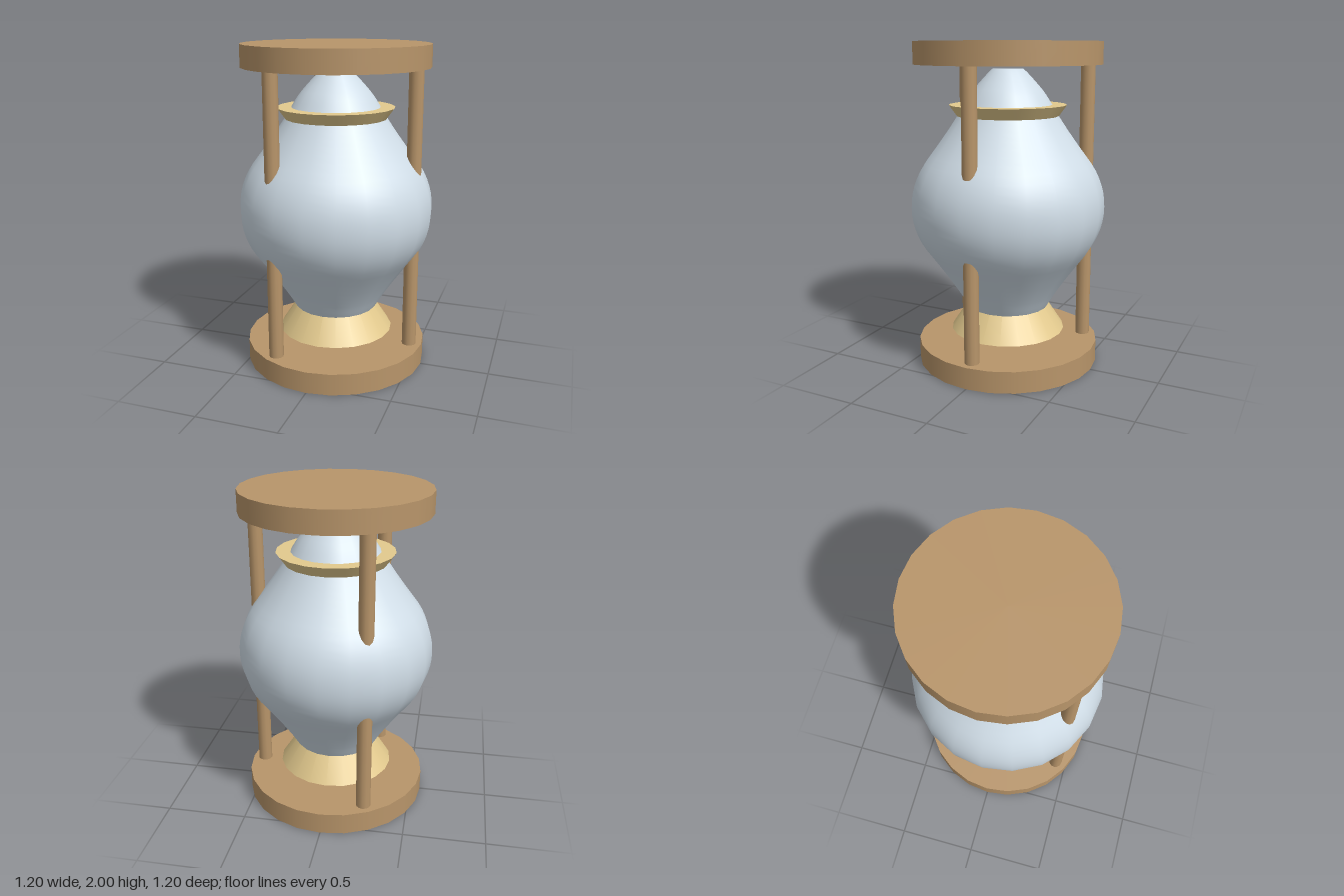
import * as THREE from 'three';

export function createModel() {
  const group = new THREE.Group();
  group.name = 'hourglass';

  const material = (name, color) => {
    const m = new THREE.MeshStandardMaterial({ color });
    m.name = name;
    return m;
  };
  const wood = material('wood', 0xb8956a);
  const glass = material('glass', 0xd0dde7);
  const sand = material('sand', 0xe3ca8e);

  const add = (name, geometry, mat, x, y, z) => {
    const mesh = new THREE.Mesh(geometry, mat);
    mesh.name = name;
    mesh.position.set(x, y, z);
    group.add(mesh);
    return mesh;
  };

  // Round end plates
  const plate = new THREE.CylinderGeometry(0.57, 0.57, 0.135, 24);
  add('bottomPlate', plate, wood, 0, 0.0675, 0);
  add('topPlate', plate, wood, 0, 1.9325, 0);

  // Three posts, partly sunk into the glass
  const post = new THREE.CylinderGeometry(0.045, 0.045, 1.74, 12);
  for (let i = 0; i < 3; i++) {
    const a = (i * Math.PI * 2) / 3;
    add('post' + (i + 1), post, wood, 0.49 * Math.cos(a), 1, 0.49 * Math.sin(a));
  }

  // Glass body: upper half profile (radius, height above middle), mirrored below
  const half = [[0.6, 0], [0.585, 0.12], [0.535, 0.24], [0.445, 0.365], [0.37, 0.47],
    [0.307, 0.565], [0.268, 0.63], [0.215, 0.71], [0.13, 0.805], [0.095, 0.838]];
  const lower = half.slice(1).reverse().map(([r, h]) => new THREE.Vector2(r, 1 - h));
  const upper = half.map(([r, h]) => new THREE.Vector2(r, 1 + h));
  const wall = new THREE.SplineCurve([...lower, ...upper]).getPoints(48);
  const first = wall[0];
  const last = wall[wall.length - 1];
  // Doubled end points keep the rims of the flat caps sharp
  const profile = [new THREE.Vector2(0, first.y), first.clone(), ...wall,
    last.clone(), new THREE.Vector2(0, last.y)];
  add('glassBody', new THREE.LatheGeometry(profile, 20), glass, 0, 0, 0);

  // Sand cones, the upper one pointing down
  add('lowerSand', new THREE.ConeGeometry(0.36, 0.55, 20), sand, 0, 0.475, 0);
  add('upperSand', new THREE.ConeGeometry(0.36, 0.5, 20), sand, 0, 1.375, 0).rotation.x = Math.PI;

  return group;
}
